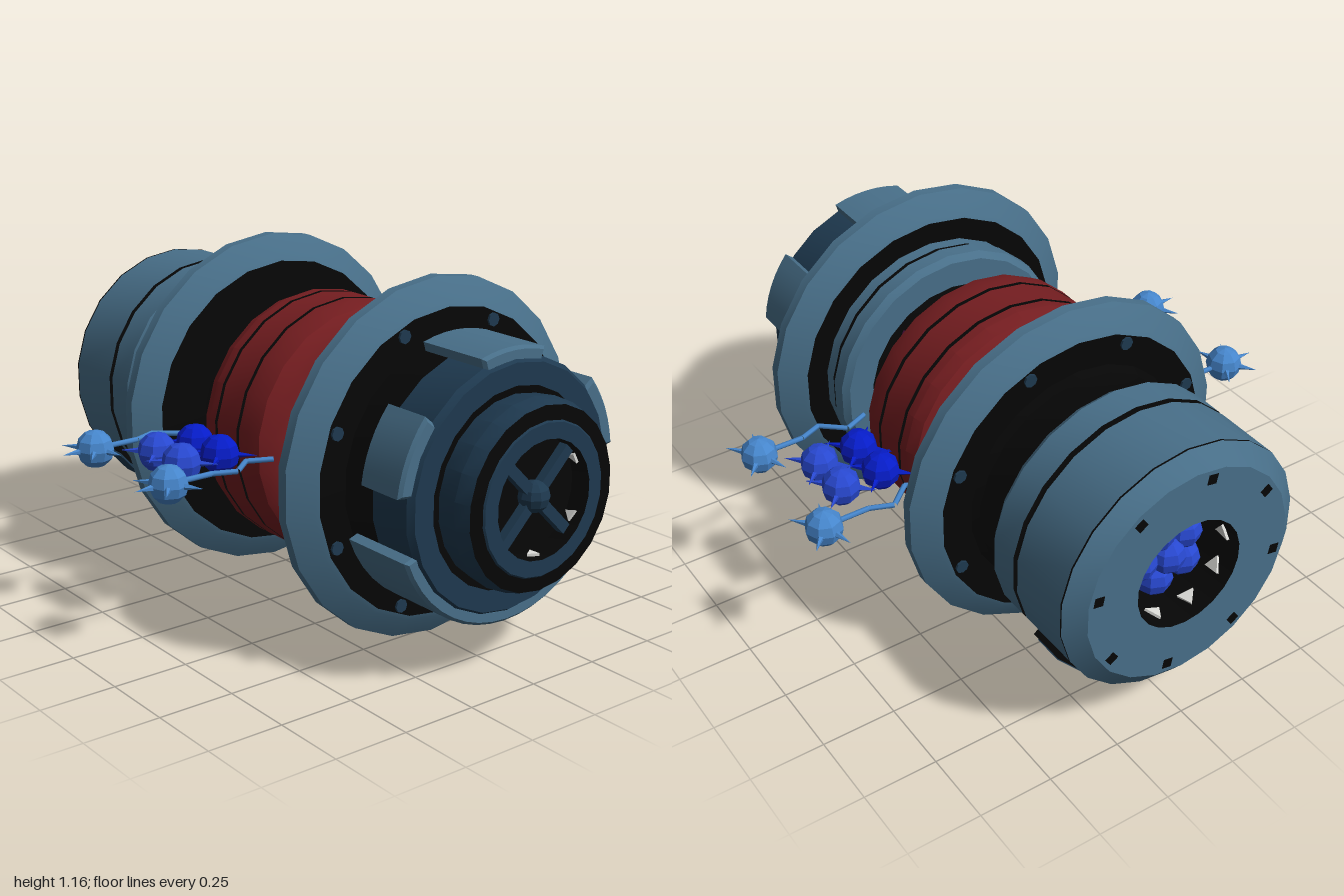
import * as THREE from 'three';
import { toCreasedNormals } from 'three/addons/utils/BufferGeometryUtils.js';

const mat = (name, color) => Object.assign(new THREE.MeshStandardMaterial({ color }), { name });

export function createModel() {
  const steel = mat('steel', 0x486f89), navy = mat('navy', 0x1e394f), black = mat('black', 0x060606);
  const red = mat('red', 0x741d20), sky = mat('skyBlue', 0x4686cc), white = mat('white', 0xe0e0dc);
  const blue = mat('midBlue', 0x2848d0), deep = mat('deepBlue', 0x061cc8), purple = mat('darkPurple', 0x460a34);

  const model = new THREE.Group();
  model.name = 'reactorPod';
  model.position.set(0.015, 0.583, 0);   // origin on the long axis
  const root = new THREE.Group();
  root.add(model);

  const add = (name, geo, material, parent = model) => {
    const mesh = new THREE.Mesh(geo, material);
    mesh.name = name;
    parent.add(mesh);
    return mesh;
  };
  // Turned part along z; profile as [z, radius]
  const turned = (name, material, profile) => {
    const geo = new THREE.LatheGeometry(profile.map(([z, r]) => new THREE.Vector2(r, z)), 22);
    geo.rotateX(Math.PI / 2);
    return add(name, toCreasedNormals(geo, 0.45), material);
  };
  const flat = (geo) => {
    const g = geo.index ? geo.toNonIndexed() : geo;
    g.computeVertexNormals();
    return g;
  };
  const rad = THREE.MathUtils.degToRad;
  // Curved armour plate between two angles
  const plate = (name, material, a0, a1, r0, r1, z0, z1) => {
    const s = new THREE.Shape();
    s.absarc(0, 0, r1, rad(a0), rad(a1), false);
    s.absarc(0, 0, r0, rad(a1), rad(a0), true);
    const geo = new THREE.ExtrudeGeometry(s, {
      depth: z1 - z0 - 0.02, bevelEnabled: true, bevelSize: 0.01, bevelThickness: 0.01,
      bevelOffset: -0.01, bevelSegments: 1, curveSegments: Math.max(3, Math.round((a1 - a0) / 16)),
    });
    geo.translate(0, 0, z0 + 0.01);
    return add(name, toCreasedNormals(geo, 0.45), material);
  };
  // Ring of thin triangular chips lying on a round wall
  const chips = (name, material, count, r, z, size) => {
    for (let i = 0; i < count; i++) {
      const geo = new THREE.CylinderGeometry(size, size, 0.009, 3);
      geo.rotateY(i * 1.9).translate(0, r, z).rotateZ((i / count) * Math.PI * 2);
      add(name, flat(geo), material);
    }
  };

  // Front nose with black face ring and recessed cross
  turned('nose', navy, [[0.86, 0.29], [0.94, 0.3], [0.99, 0.285]]);
  turned('noseFaceRing', black, [[0.99, 0.285], [0.995, 0.24]]);
  turned('noseLip', navy, [[0.995, 0.24], [1, 0.235], [1, 0.185]]);
  turned('noseRecess', black, [[1, 0.185], [0.93, 0.185], [0.93, 0]]);
  chips('noseGlow', white, 6, 0.179, 0.957, 0.022);
  for (const a of [45, -45]) {
    const bar = add('crossBar', new THREE.BoxGeometry(0.36, 0.035, 0.03), navy);
    bar.rotation.z = rad(a);
    bar.position.z = 0.955;
  }
  add('crossHub', flat(new THREE.SphereGeometry(0.05, 10, 6)), navy).position.z = 0.955;

  // Front housing core and its armour plates
  turned('housingRear', black, [[0.56, 0.4], [0.7, 0.4]]);
  turned('housing', navy, [[0.7, 0.4], [0.85, 0.4], [0.87, 0.385], [0.87, 0.315]]);
  turned('housingFace', black, [[0.87, 0.315], [0.865, 0.29]]);
  plate('topPlate', steel, 73, 107, 0.38, 0.43, 0.59, 0.86);
  plate('sidePlateLeft', steel, 7, 40, 0.38, 0.435, 0.68, 0.86);
  plate('sidePlateRight', steel, 140, 173, 0.38, 0.435, 0.68, 0.86);
  plate('bellyPlate', steel, 200, 340, 0.38, 0.43, 0.59, 0.86);

  // Two large flanges: steel rim, black inset faces, bolts
  for (const [c, outward] of [[0.5, 1], [-0.355, -1]]) {
    turned('flange', steel, [[c - 0.072, 0.495], [c - 0.065, 0.51], [c - 0.018, 0.58],
      [c + 0.018, 0.58], [c + 0.065, 0.51], [c + 0.072, 0.495]]);
    turned('flangeBackInset', black, [[c - 0.075, 0.28], [c - 0.072, 0.495]]);
    turned('flangeFrontInset', black, [[c + 0.072, 0.495], [c + 0.075, 0.28]]);
    for (let i = 0; i < 8; i++) {
      const a = rad(22.5 + 45 * i);
      const bolt = add('flangeBolt', flat(new THREE.CylinderGeometry(0.022, 0.022, 0.02, 8).rotateX(Math.PI / 2)), navy);
      bolt.position.set(0.465 * Math.cos(a), 0.465 * Math.sin(a), c + outward * 0.07);
    }
  }

  // Collar behind the front flange and the waist necks
  turned('collar', steel, [[0.29, 0.31], [0.29, 0.41], [0.31, 0.43], [0.36, 0.43]]);
  turned('collarBand', black, [[0.36, 0.43], [0.363, 0.42], [0.385, 0.42]]);
  turned('collarStep', steel, [[0.385, 0.42], [0.43, 0.42]]);
  turned('frontNeck', black, [[0.17, 0.33], [0.205, 0.3], [0.28, 0.3], [0.29, 0.32]]);
  turned('rearNeck', black, [[-0.3, 0.36], [-0.27, 0.3], [-0.19, 0.3], [-0.17, 0.32]]);
  chips('frontNeckChip', purple, 16, 0.303, 0.243, 0.036);
  chips('rearNeckGlow', white, 16, 0.303, -0.23, 0.036);

  // Red drum in three bands with black grooves between
  turned('drumRear', red, [[-0.18, 0.3], [-0.18, 0.34], [-0.165, 0.385], [-0.14, 0.415], [-0.1, 0.43], [-0.067, 0.43]]);
  turned('drumMiddle', red, [[-0.053, 0.43], [0.053, 0.43]]);
  turned('drumFront', red, [[0.067, 0.43], [0.11, 0.43], [0.155, 0.415], [0.18, 0.385], [0.195, 0.34], [0.195, 0.3]]);
  for (const z of [-0.06, 0.06]) {
    turned('drumGroove', black, [[z - 0.007, 0.43], [z - 0.006, 0.42], [z + 0.006, 0.42], [z + 0.007, 0.43]]);
  }

  // Rear barrel with open bore
  turned('barrelNeck', black, [[-0.6, 0.39], [-0.55, 0.375], [-0.45, 0.375], [-0.42, 0.4]]);
  turned('barrelBand', steel, [[-0.71, 0.43], [-0.61, 0.43], [-0.585, 0.41], [-0.585, 0.36]]);
  turned('barrelGroove', black, [[-0.73, 0.43], [-0.728, 0.418], [-0.712, 0.418], [-0.71, 0.43]]);
  turned('barrelEnd', steel, [[-1, 0.19], [-1, 0.37], [-0.953, 0.43]]);
  turned('barrelSeam', black, [[-0.953, 0.43], [-0.947, 0.43]]);
  turned('barrel', steel, [[-0.947, 0.43], [-0.73, 0.43]]);
  turned('bore', black, [[-0.74, 0], [-0.74, 0.19], [-1, 0.19]]);
  chips('boreGlow', white, 9, 0.183, -0.93, 0.032);
  for (let i = 0; i < 8; i++) {
    const a = rad(45 * i + 10);
    const slot = add('rearSlot', new THREE.BoxGeometry(0.034, 0.034, 0.006), black);
    slot.position.set(0.335 * Math.cos(a), 0.335 * Math.sin(a), -1 + 0.002);
    slot.rotation.z = a;
  }
  for (const a of [-42, 222]) {
    const latch = new THREE.Group();
    latch.name = 'barrelLatch';
    latch.rotation.z = rad(a);
    add('latchFrame', new THREE.BoxGeometry(0.05, 0.17, 0.125), black, latch).position.set(0.413, 0, -0.82);
    add('latchBlock', new THREE.BoxGeometry(0.05, 0.135, 0.1), navy, latch).position.set(0.42, 0, -0.82);
    model.add(latch);
  }
  // Energy cells inside the bore
  for (let i = 0; i < 6; i++) {
    const a = rad(72 * i), d = i < 5 ? 0.09 : 0;
    add('boreCell', flat(new THREE.SphereGeometry(0.062, 8, 6)), blue)
      .position.set(d * Math.cos(a), d * Math.sin(a), i < 5 ? -0.87 : -0.89);
  }

  // Side orbs with spikes in the horizontal plane; outer pair carried on bent arms
  const orb = (name, material, x, z, r, angles) => {
    const g = new THREE.Group();
    g.name = name;
    g.position.set(x, 0, z);
    add(name + 'Ball', flat(new THREE.SphereGeometry(r, 8, 6)), material, g);
    for (const a of angles) {
      const spike = new THREE.ConeGeometry(0.012, 0.07, 5);
      spike.translate(0, r + 0.02, 0).rotateZ(-Math.PI / 2).rotateY(rad(a));
      add(name + 'Spike', flat(spike), material, g);
    }
    model.add(g);
  };
  for (const sx of [-1, 1]) {
    const outerSpikes = sx > 0 ? [50, 105, 250, 310] : [180, 125, 60, 235, 285];
    for (const sz of [-1, 1]) {
      orb('outerOrb', sky, sx * 0.785, sz * 0.215, 0.062, outerSpikes.map((a) => -sz * a));
      orb('middleOrb', blue, sx * 0.645, sz * 0.07, 0.064, [45, 135, 225, 315]);
      orb('innerOrb', deep, sx * 0.502, sz * 0.07, 0.064, [45, 135, 225, 315]);
      const path = [[0.73, 0.215], [0.63, 0.215], [0.555, 0.245], [0.48, 0.18], [0.4, 0.215]]
        .map(([x, z]) => new THREE.Vector3(sx * x, 0, sz * z));
      for (let i = 0; i < path.length - 1; i++) {
        const arm = new THREE.TubeGeometry(new THREE.LineCurve3(path[i], path[i + 1]), 1, 0.009, 6);
        add('orbArm', arm, sky);
      }
    }
  }
  return root;
}
